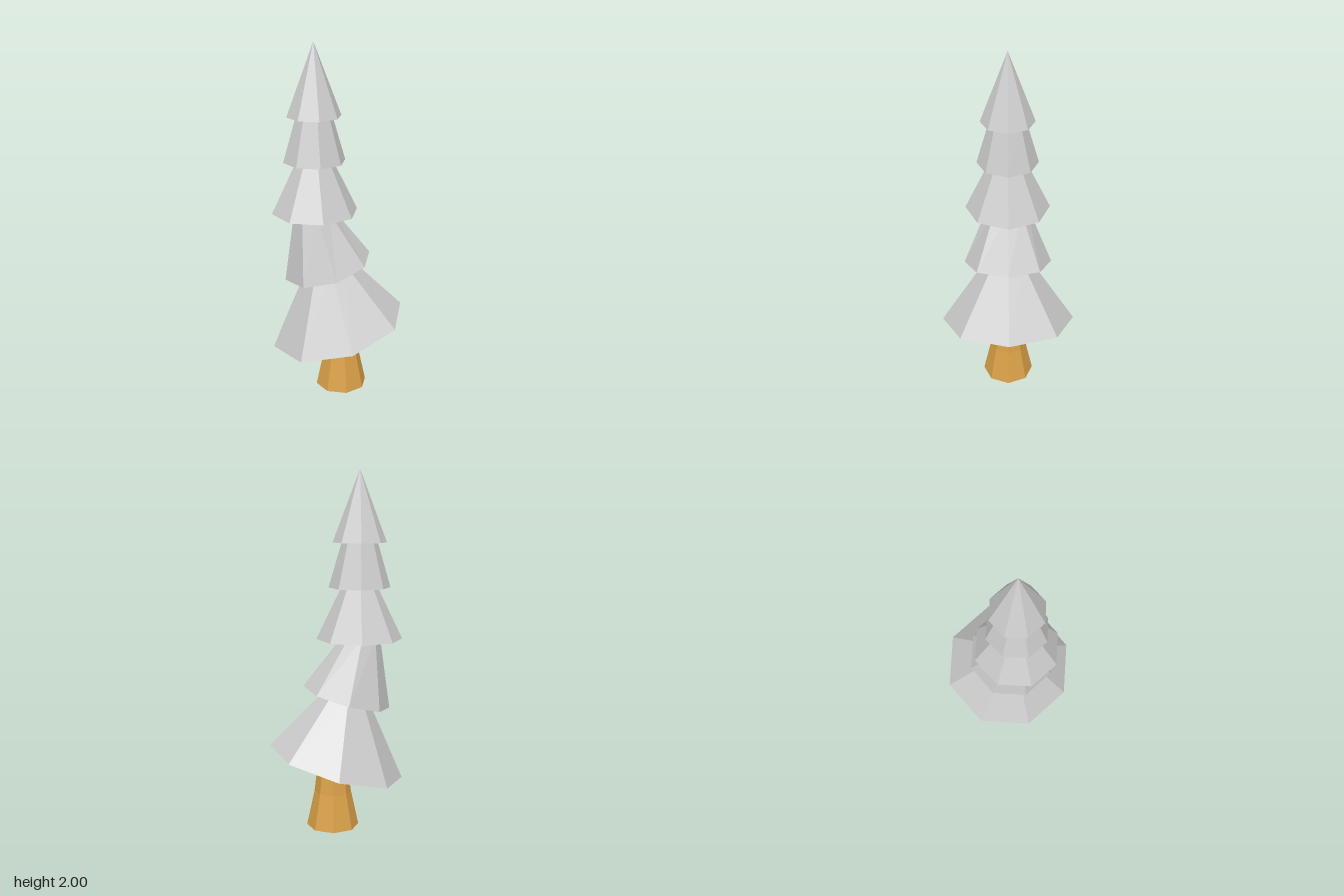
import * as THREE from 'three';

const SIDES = 8;

// Loft through octagonal rings, listed bottom to top: { x, y, r, tilt }
function loft(rings, open) {
  const n = rings.length - 1;
  const geo = new THREE.CylinderGeometry(1, 1, n, SIDES, n, open);
  const p = geo.attributes.position;
  for (let i = 0; i < p.count; i++) {
    const { x, y, r, tilt = 0 } = rings[Math.round(p.getY(i) + n / 2)];
    const u = p.getX(i) * r;
    p.setXYZ(i, x + u * Math.cos(tilt), y + u * Math.sin(tilt), p.getZ(i) * r);
  }
  geo.computeVertexNormals();
  return geo;
}

export function createModel() {
  const group = new THREE.Group();
  const leafMaterial = new THREE.MeshStandardMaterial({ color: 0xcccccc, flatShading: true });
  const barkMaterial = new THREE.MeshStandardMaterial({
    color: 0xd9a048, flatShading: true, side: THREE.DoubleSide,
  });

  const add = (name, rings, material, open = false) => {
    const mesh = new THREE.Mesh(loft(rings, open), material);
    mesh.name = name;
    group.add(mesh);
  };

  // Flared trunk, open at the foot
  add('trunk', [
    { x: 0.02, y: 0, r: 0.147 },
    { x: 0.02, y: 0.2, r: 0.104 },
    { x: 0.022, y: 0.4, r: 0.078 },
  ], barkMaterial, true);

  // Branch tiers, bottom to top; the two lowest lean sideways
  const lean = THREE.MathUtils.degToRad(15);
  const tiers = [
    [{ x: 0, y: 0.375, r: 0.388, tilt: lean }, { x: -0.062, y: 0.765, r: 0.122, tilt: lean }],
    [{ x: -0.058, y: 0.75, r: 0.25, tilt: lean }, { x: -0.137, y: 1.09, r: 0.106 }],
    [{ x: -0.128, y: 1.08, r: 0.238 }, { x: -0.128, y: 1.375, r: 0.096 }],
    [{ x: -0.128, y: 1.365, r: 0.17 }, { x: -0.128, y: 1.62, r: 0.096 }],
    [{ x: -0.128, y: 1.61, r: 0.148 }, { x: -0.128, y: 2, r: 0 }],
  ];
  tiers.forEach((rings, i) => add(`branchTier${i + 1}`, rings, leafMaterial));

  return group;
}
